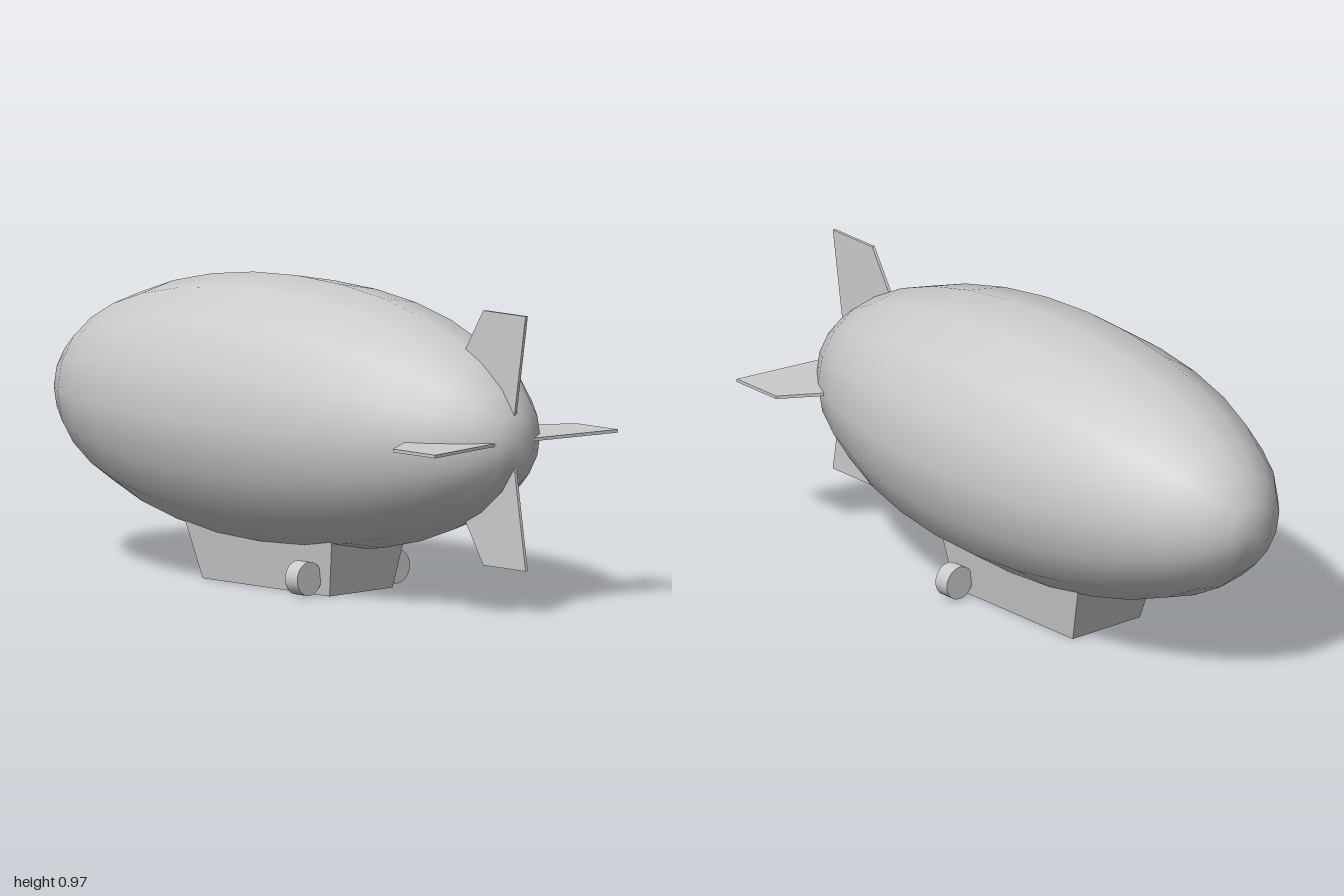
import * as THREE from 'three';

const material = new THREE.MeshStandardMaterial({ color: 0xcccccc });
const AXIS_Y = 0.54; // height of the hull's long axis

function addMesh(parent, name, geometry) {
  const mesh = new THREE.Mesh(geometry, material);
  mesh.name = name;
  parent.add(mesh);
  return mesh;
}

// Gas envelope: a sphere with its poles on z, stretched along z
function makeHull() {
  const geo = new THREE.SphereGeometry(1, 16, 16);
  geo.rotateX(Math.PI / 2);
  geo.scale(0.425, 0.425, 0.985);
  return geo.translate(0, AXIS_Y, -0.015);
}

// Swept tail fin, drawn as (z, radius) and extruded to a thin plate
function makeFin() {
  const t = 0.01;
  const outline = new THREE.Shape([
    [0.6, 0.54], [0.945, 0.05], [1.0, 0.4], [0.813, 0.4],
  ].map(([z, r], i) => new THREE.Vector2(z, i === 0 ? 0.05 : r)));
  const geo = new THREE.ExtrudeGeometry(outline, { depth: t, bevelEnabled: false });
  geo.translate(0, 0, -t / 2);
  return geo.rotateY(-Math.PI / 2);
}

// Cabin: a box that widens and lengthens towards the hull
function makeCabin() {
  const h = 0.19;
  const geo = new THREE.BoxGeometry(1, h, 1).translate(0, h / 2, 0);
  const p = geo.attributes.position;
  for (let i = 0; i < p.count; i++) {
    const top = p.getY(i) > h / 2;
    const front = p.getZ(i) > 0;
    p.setX(i, Math.sign(p.getX(i)) * (top ? 0.164 : 0.138));
    p.setZ(i, front ? (top ? 0.305 : 0.268) : (top ? -0.348 : -0.292));
  }
  geo.computeVertexNormals();
  return geo;
}

export function createModel() {
  const model = new THREE.Group();
  model.name = 'airship';

  addMesh(model, 'hull', makeHull());

  // Four fins in a cross around the tail
  const fins = new THREE.Group();
  fins.name = 'tailFins';
  fins.position.y = AXIS_Y;
  const finGeo = makeFin();
  ['topFin', 'leftFin', 'bottomFin', 'rightFin'].forEach((name, i) => {
    addMesh(fins, name, finGeo).rotation.z = -i * Math.PI / 2;
  });
  model.add(fins);

  addMesh(model, 'cabin', makeCabin());

  // Engine pods on both sides of the cabin
  const podGeo = new THREE.CylinderGeometry(0.053, 0.053, 0.054, 32).rotateX(Math.PI / 2);
  for (const side of [1, -1]) {
    addMesh(model, side > 0 ? 'leftEngine' : 'rightEngine', podGeo)
      .position.set(side * 0.193, 0.057, 0.208);
  }

  return model;
}
